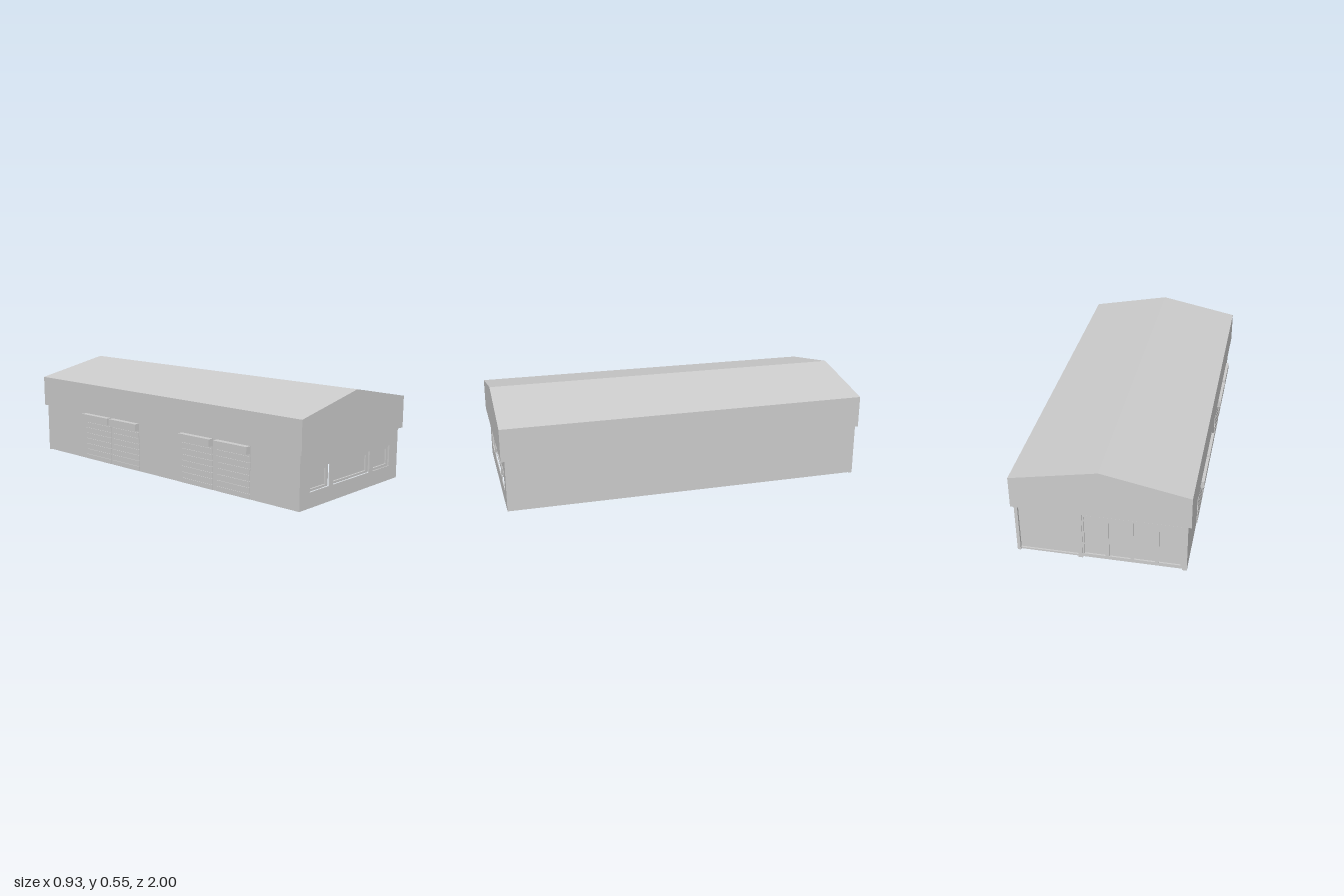
import * as THREE from 'three';

const grey = new THREE.MeshStandardMaterial({ color: 0xcccccc, side: THREE.DoubleSide, flatShading: true });

function add(parent, name, geometry) {
  const mesh = new THREE.Mesh(geometry, grey);
  mesh.name = name;
  parent.add(mesh);
  return mesh;
}

// Box given by its lower and upper limits
function box(parent, name, x0, x1, y0, y1, z0, z1) {
  const g = new THREE.BoxGeometry(x1 - x0, y1 - y0, z1 - z0);
  g.translate((x0 + x1) / 2, (y0 + y1) / 2, (z0 + z1) / 2);
  return add(parent, name, g);
}

const outline = (pts) => new THREE.Shape(pts.map(([x, y]) => new THREE.Vector2(x, y)));
const rect = (x0, x1, y0, y1) => [[x0, y0], [x1, y0], [x1, y1], [x0, y1]];

function panel(pts, holes = []) {
  const s = outline(pts);
  holes.forEach((h) => s.holes.push(outline(rect(...h))));
  return s;
}

function extrude(parent, name, shape, z0, z1) {
  const g = new THREE.ExtrudeGeometry(shape, { depth: z1 - z0, bevelEnabled: false });
  g.translate(0, 0, z0);
  return add(parent, name, g);
}

// Main dimensions
const L = -0.433, R = 0.445, BASE = 0.003, EAVE = 0.285;
const FRONT = 0.98, BACK = -0.975;

function buildRoof(parent) {
  const roof = new THREE.Group();
  roof.name = 'roof';
  parent.add(roof);
  const top = [[-0.45, EAVE], [-0.45, 0.46], [0.005, 0.55], [0.46, 0.46], [0.46, EAVE]];
  extrude(roof, 'roofShell', outline([...top, [R, EAVE], [R, 0.44], [0.005, 0.528], [L, 0.44], [L, EAVE]]), BACK, FRONT);
  extrude(roof, 'frontGable', outline(top), FRONT, 1);
  extrude(roof, 'backGable', outline(top), -1, BACK);
}

// Front wall with three recessed windows
function buildFront(parent) {
  const windows = [
    [[-0.352, -0.19, 0.083, 0.198], [-0.335, -0.21, 0.095, 0.18]],
    [[-0.158, 0.172, 0.083, 0.198], [-0.147, 0.15, 0.095, 0.18]],
    [[0.205, 0.365, 0.083, 0.198], [0.223, 0.35, 0.095, 0.18]],
  ];
  extrude(parent, 'frontWall', panel(rect(L, R, BASE, EAVE), windows.map((w) => w[0])), FRONT - 0.005, FRONT);
  windows.forEach(([outer, inner]) => {
    extrude(parent, 'windowFrame', panel(rect(...outer), [inner]), FRONT - 0.024, FRONT - 0.01);
    box(parent, 'windowPane', ...inner, FRONT - 0.022, FRONT - 0.019);
  });
}

// Side walls, with four roller shutters under box housings on the right side
function buildSides(parent) {
  const bays = [[-0.615, -0.39], [-0.375, -0.15], [0.19, 0.415], [0.445, 0.67]];
  box(parent, 'leftWall', R - 0.004, R, BASE, 0.44, BACK, FRONT);
  const wall = panel(rect(BACK, FRONT, BASE, 0.44), bays.map(([a, b]) => [a, b, 0.006, 0.262]));
  const g = new THREE.ShapeGeometry(wall);
  g.rotateY(-Math.PI / 2);
  g.translate(L, 0, 0);
  add(parent, 'rightWall', g);

  const slats = 8, pitch = 0.0325;
  bays.forEach(([a, b]) => {
    const shutter = new THREE.Group();
    shutter.name = 'rollerShutter';
    parent.add(shutter);
    box(shutter, 'shutterCore', L, L + 0.002, 0.004, 0.264, a, b);
    for (let i = 0; i < slats; i++) {
      const y = 0.004 + i * pitch;
      box(shutter, 'shutterSlat', L - 0.004, L + 0.006, y, y + pitch - 0.006, a, b);
    }
    box(shutter, 'shutterHousing', -0.465, L, 0.24, 0.279, a, b);
  });
}

// Back: one large panel and four glazed doors between posts
function buildBack(parent) {
  const back = new THREE.Group();
  back.name = 'backFacade';
  parent.add(back);
  const posts = [[L, -0.408], [0.1, 0.122], [0.428, R]];
  posts.forEach(([a, b]) => box(back, 'backPost', a, b, 0, EAVE, -0.99, BACK + 0.005));
  box(back, 'largePanel', 0.122, 0.428, BASE, EAVE, BACK, BACK + 0.004);
  box(back, 'sill', L, R, BASE, 0.013, -0.983, BACK + 0.004);
  box(back, 'header', L, R, 0.272, EAVE, -0.983, BACK + 0.004);

  const n = 4, x0 = -0.408, w = (0.1 - x0) / n;
  for (let i = 0; i < n; i++) {
    const a = x0 + i * w, b = a + w;
    extrude(back, 'doorFrame', panel(rect(a, b, 0.013, 0.272), [[a + 0.009, b - 0.009, 0.025, 0.26]]), -0.985, BACK);
    box(back, 'doorGlass', a + 0.009, b - 0.009, 0.025, 0.26, BACK - 0.002, BACK + 0.001);
  }
}

export function createModel() {
  const model = new THREE.Group();
  model.name = 'hall';
  buildRoof(model);
  buildFront(model);
  buildSides(model);
  buildBack(model);
  return model;
}
